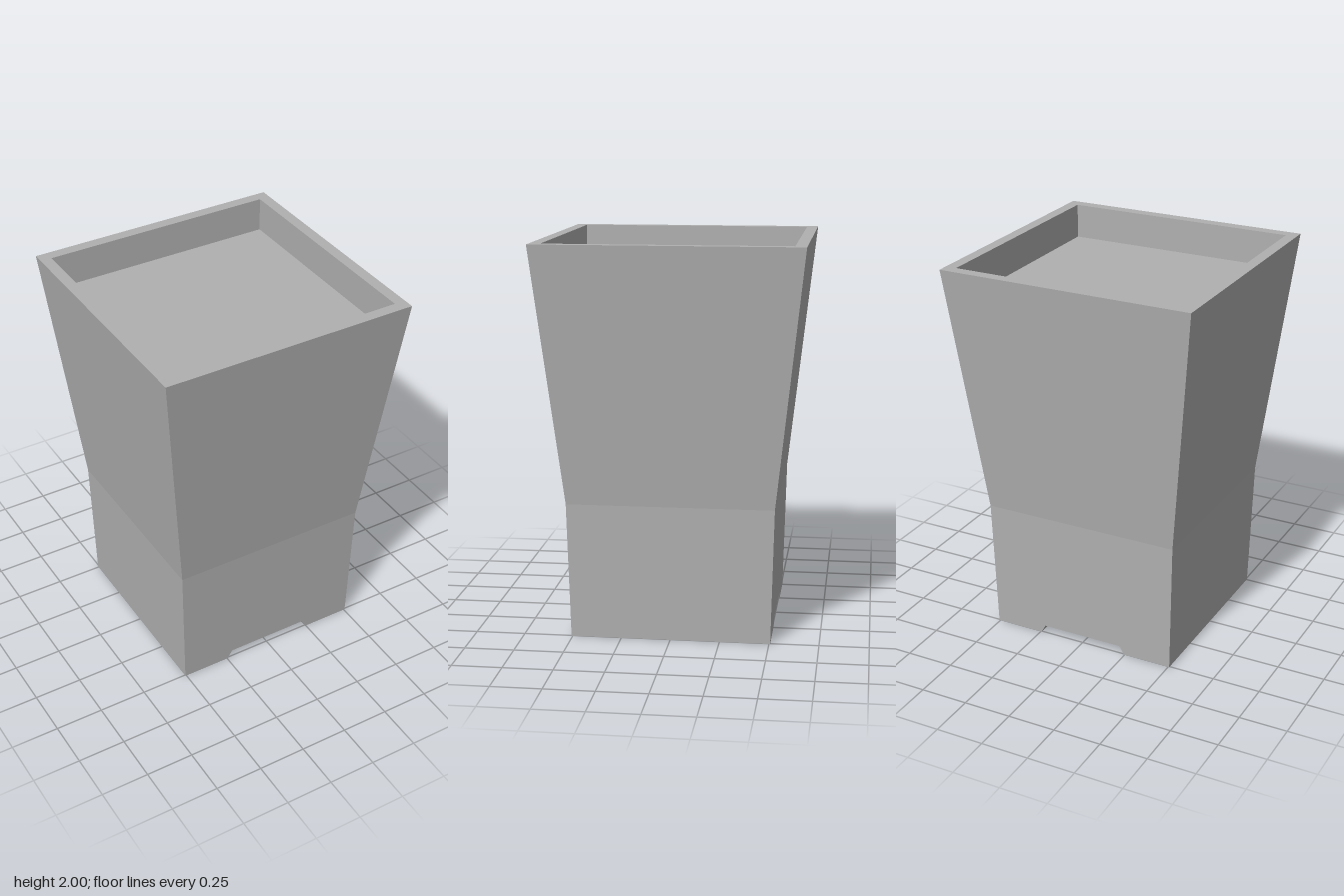
import * as THREE from 'three';

const TOP = 2, WAIST_Y = 0.695, FLOOR_Y = 1.82;
const BASE = 0.506, WAIST = 0.523, RIM = 0.667, INNER = 0.609; // half widths

export function createModel() {
  const group = new THREE.Group();
  group.name = 'squarePlanter';
  const grey = new THREE.MeshStandardMaterial({ color: 0xb0b0b0 });
  grey.name = 'stoneGrey';

  // Lower body: front outline with the drainage channel running front to back
  const outline = new THREE.Shape([
    [-BASE, 0], [-0.246, 0], [-0.22, 0.045], [0.22, 0.045], [0.246, 0],
    [BASE, 0], [WAIST, WAIST_Y], [-WAIST, WAIST_Y],
  ].map(([x, y]) => new THREE.Vector2(x, y)));
  const lower = new THREE.ExtrudeGeometry(outline, { depth: 1, bevelEnabled: false });
  // Taper front and back to match the sides
  const p = lower.attributes.position;
  for (let i = 0; i < p.count; i++) {
    const half = THREE.MathUtils.lerp(BASE, WAIST, p.getY(i) / WAIST_Y);
    p.setZ(i, p.getZ(i) > 0.5 ? half : -half);
  }
  lower.computeVertexNormals();
  const lowerBody = new THREE.Mesh(lower, grey);
  lowerBody.name = 'lowerBody';
  group.add(lowerBody);

  // Upper body: four-sided flared wall, rim, inner wall and recessed floor
  const profile = [
    [WAIST, WAIST_Y], [RIM, TOP], [INNER, TOP], [INNER, FLOOR_Y], [0, FLOOR_Y],
  ].map(([half, y]) => new THREE.Vector2(half * Math.SQRT2, y));
  const upper = new THREE.LatheGeometry(profile, 4, Math.PI / 4).toNonIndexed();
  upper.computeVertexNormals();
  const upperBody = new THREE.Mesh(upper, grey);
  upperBody.name = 'upperBodyAndBasin';
  group.add(upperBody);

  return group;
}
